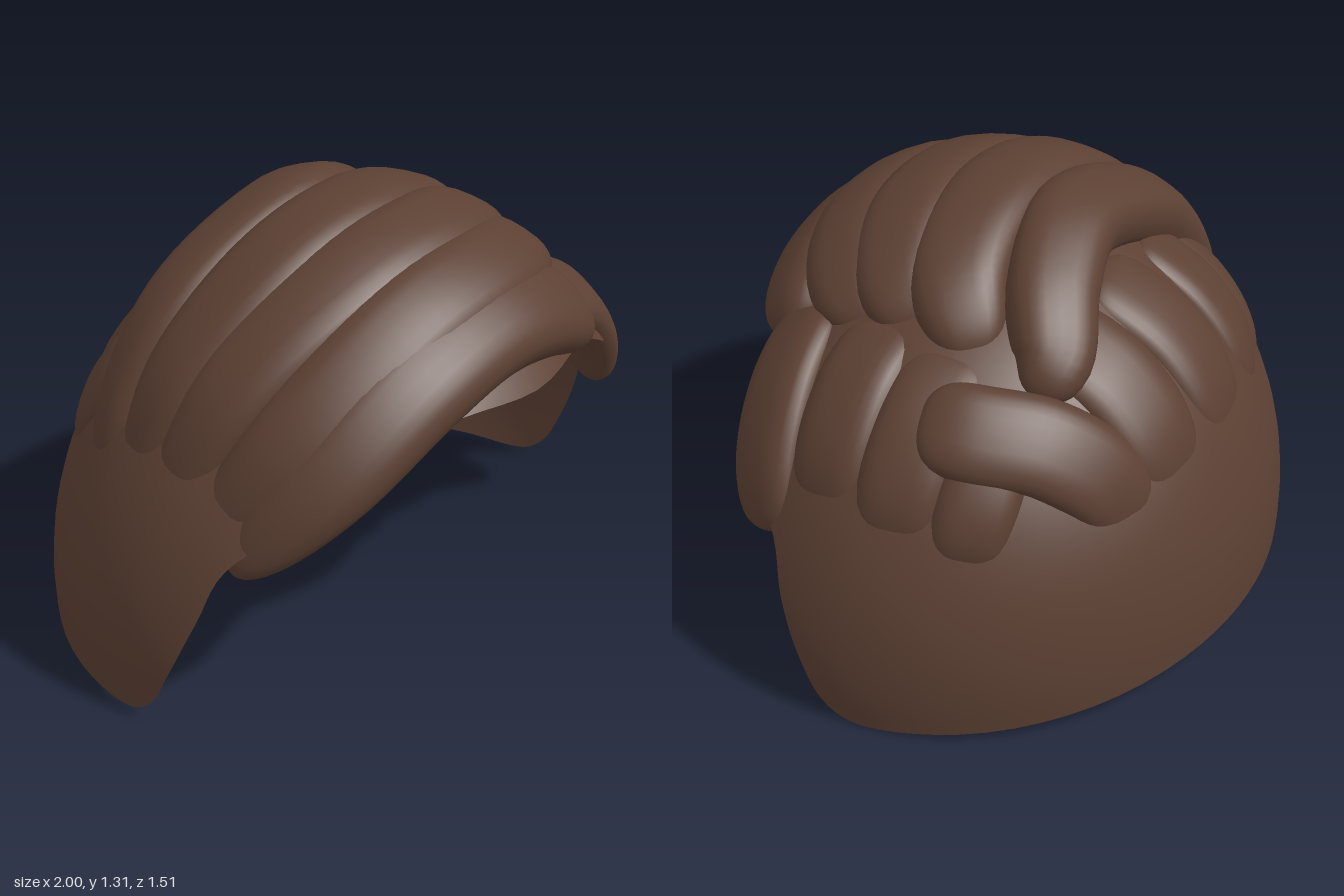
import * as THREE from 'three';

// Head ellipsoid that every part follows
const C = new THREE.Vector3(0, 0.15, 0.1);
const R = new THREE.Vector3(1, 1, 0.86);

const hair = new THREE.MeshStandardMaterial({ color: 0x5c4033, side: THREE.DoubleSide });
hair.name = 'brownHair';

function gridGeometry(positions, rows, cols) {
  const index = [];
  for (let i = 0; i < rows - 1; i++) {
    for (let j = 0; j < cols; j++) {
      const k = (j + 1) % cols;
      const a = i * cols + j, b = (i + 1) * cols + j, c = i * cols + k, d = (i + 1) * cols + k;
      index.push(a, b, c, b, d, c);
    }
  }
  const g = new THREE.BufferGeometry();
  g.setAttribute('position', new THREE.Float32BufferAttribute(positions, 3));
  g.setIndex(index);
  g.computeVertexNormals();
  return g;
}

// Open cap: rows run from the crown down to the hairline
function cap() {
  // hairline as [degrees from the front, height]
  const edge = [[0, 0.82], [28, 0.82], [46, 0.71], [62, 0.61], [72.5, 0.5], [77, 0.35], [82.5, 0.17],
    [87, 0.05], [92.5, 0], [110, 0.01], [135, 0.035], [160, 0.055], [180, 0.06]];
  const line = new THREE.CatmullRomCurve3(edge.map(([a, y]) => new THREE.Vector3(a / 100, y, 0)), false, 'centripetal');
  const half = line.getPoints(60);
  const full = [...half.map(p => [p.x, p.y]), ...half.slice(1, -1).reverse().map(p => [3.6 - p.x, p.y])];
  const rows = 33, pos = [];
  for (let i = 0; i < rows; i++) {
    for (const [a, y] of full) {
      const phi = a * 100 * Math.PI / 180;
      const low = Math.asin((y - C.y) / R.y);
      const e = Math.PI / 2 + (low - Math.PI / 2) * i / (rows - 1);
      pos.push(C.x + R.x * Math.cos(e) * Math.sin(phi), C.y + R.y * Math.sin(e), C.z + R.z * Math.cos(e) * Math.cos(phi));
    }
  }
  return gridGeometry(pos, rows, full.length);
}

// Lock: rounded flat tube along points [x, y, z, offset from head]; start and end scale its section
function lock(points, width, height, start, end) {
  const path = new THREE.CatmullRomCurve3(points.map(([x, y, z, off]) => {
    const d = new THREE.Vector3(x, y, z).sub(C).divide(R).normalize();
    const n = d.clone().divide(R).normalize();
    return d.multiply(R).add(C).addScaledVector(n, off);
  }), false, 'centripetal');
  const rows = 49, cols = 28, pos = [];
  for (let i = 0; i < rows; i++) {
    const t = (1 - Math.cos(Math.PI * i / (rows - 1))) / 2;
    const p = path.getPointAt(t), T = path.getTangentAt(t);
    const n = p.clone().sub(C).divide(R).divide(R).normalize();
    const side = T.clone().cross(n).normalize();
    n.crossVectors(side, T).normalize();
    const round = Math.max(0.01, Math.sqrt(1 - Math.abs(2 * t - 1) ** 9));
    const s = round * (t < 0.5 ? THREE.MathUtils.lerp(start, 1, Math.sin(t * Math.PI))
      : THREE.MathUtils.lerp(end, 1, Math.sin(t * Math.PI)));
    for (let j = 0; j < cols; j++) {
      const a = j / cols * Math.PI * 2, c = Math.cos(a), q = Math.sin(a);
      const v = p.clone()
        .addScaledVector(side, Math.sign(c) * Math.abs(c) ** 0.75 * width * s)
        .addScaledVector(n, Math.sign(q) * Math.abs(q) ** 0.85 * height * s);
      pos.push(v.x, v.y, v.z);
    }
  }
  return gridGeometry(pos, rows, cols);
}

export function createModel() {
  const model = new THREE.Group();
  model.name = 'hairstyle';
  const add = (name, geometry) => {
    const m = new THREE.Mesh(geometry, hair);
    m.name = name;
    model.add(m);
  };

  add('cap', cap());

  // Large locks swept over the crown, rear to front
  const sweep = [
    [[-0.82, 0.58, -0.25, -0.06], [-0.68, 0.78, -0.2, -0.02], [-0.45, 0.99, -0.14, 0.03], [-0.05, 1.11, -0.1, 0.06],
      [0.2, 1.06, -0.17, 0.035], [0.36, 0.96, -0.26, 0.005], [0.47, 0.93, -0.27, -0.015]],
    [[-0.87, 0.57, -0.1, -0.08], [-0.65, 0.9, 0.0, -0.01], [-0.3, 1.1, 0.1, 0.045], [0.03, 1.15, 0.11, 0.05],
      [0.3, 1.1, 0.06, 0.01], [0.46, 1.0, -0.08, -0.05]],
    [[-0.89, 0.54, 0.05, -0.08], [-0.65, 0.9, 0.19, -0.01], [-0.25, 1.08, 0.3, 0.045], [0.1, 1.1, 0.3, 0.045],
      [0.32, 1.08, 0.24, 0.005], [0.45, 1.02, 0.14, -0.05]],
    [[-0.88, 0.51, 0.2, -0.08], [-0.65, 0.82, 0.4, -0.01], [-0.25, 1.01, 0.47, 0.045], [0.1, 1.04, 0.47, 0.045],
      [0.32, 1.02, 0.4, 0.01], [0.45, 0.97, 0.3, -0.04]],
    [[-0.87, 0.48, 0.34, -0.05], [-0.65, 0.74, 0.51, -0.01], [-0.38, 0.92, 0.57, 0.025], [-0.08, 0.99, 0.59, 0.035],
      [0.16, 0.95, 0.59, 0.025], [0.31, 0.86, 0.57, 0.0], [0.4, 0.8, 0.54, -0.03]],
  ];
  sweep.forEach((pts, i) => add('sweptLock' + (i + 1), lock(pts, i === 0 ? 0.14 : 0.155, 0.105, 0.55, 0.9)));

  // Short locks hanging over the left side
  const sideLocks = [
    [[0.38, 0.93, 0.5, -0.02], [0.6, 0.83, 0.48, -0.005], [0.76, 0.66, 0.45, -0.015], [0.87, 0.48, 0.41, -0.04]],
    [[0.42, 1.03, 0.22, -0.08], [0.62, 0.91, 0.22, -0.04], [0.8, 0.74, 0.22, -0.055], [0.9, 0.53, 0.2, -0.13]],
    [[0.45, 1.02, -0.02, -0.08], [0.66, 0.88, -0.02, -0.04], [0.82, 0.7, -0.02, -0.055], [0.9, 0.54, -0.04, -0.13]],
    [[0.55, 0.92, -0.22, -0.04], [0.72, 0.78, -0.24, -0.035], [0.83, 0.67, -0.25, -0.05], [0.88, 0.57, -0.26, -0.1]],
  ];
  sideLocks.forEach((pts, i) => add('sideLock' + (i + 1),
    lock(pts, i === 3 ? 0.12 : 0.135, i === 0 ? 0.068 : 0.08, 1, 0.8)));

  // Lock curling from the nape forward over the side
  add('curledLock', lock([[0.66, 0.88, -0.01, 0.005], [0.63, 0.87, -0.17, 0.015], [0.56, 0.85, -0.37, 0.005],
    [0.47, 0.7, -0.55, -0.04], [0.51, 0.46, -0.66, -0.13]], 0.14, 0.07, 1, 0.75));

  // Back locks whose tips tuck in through the cap
  [[-0.6, -0.72], [-0.3, -0.43], [0.0, -0.09], [0.26, 0.22]].forEach(([top, tip], i) => {
    const mid = (top + tip) / 2;
    add('backLock' + (i + 1), lock([[top, 1.0, -0.18, -0.035], [mid, 0.88, -0.42, -0.03],
      [mid * 0.6 + tip * 0.4, 0.7, -0.56, -0.045], [tip, i === 0 ? 0.5 : 0.46, -0.66, -0.12]], 0.15, 0.065, 1, 0.75));
  });

  return model;
}
